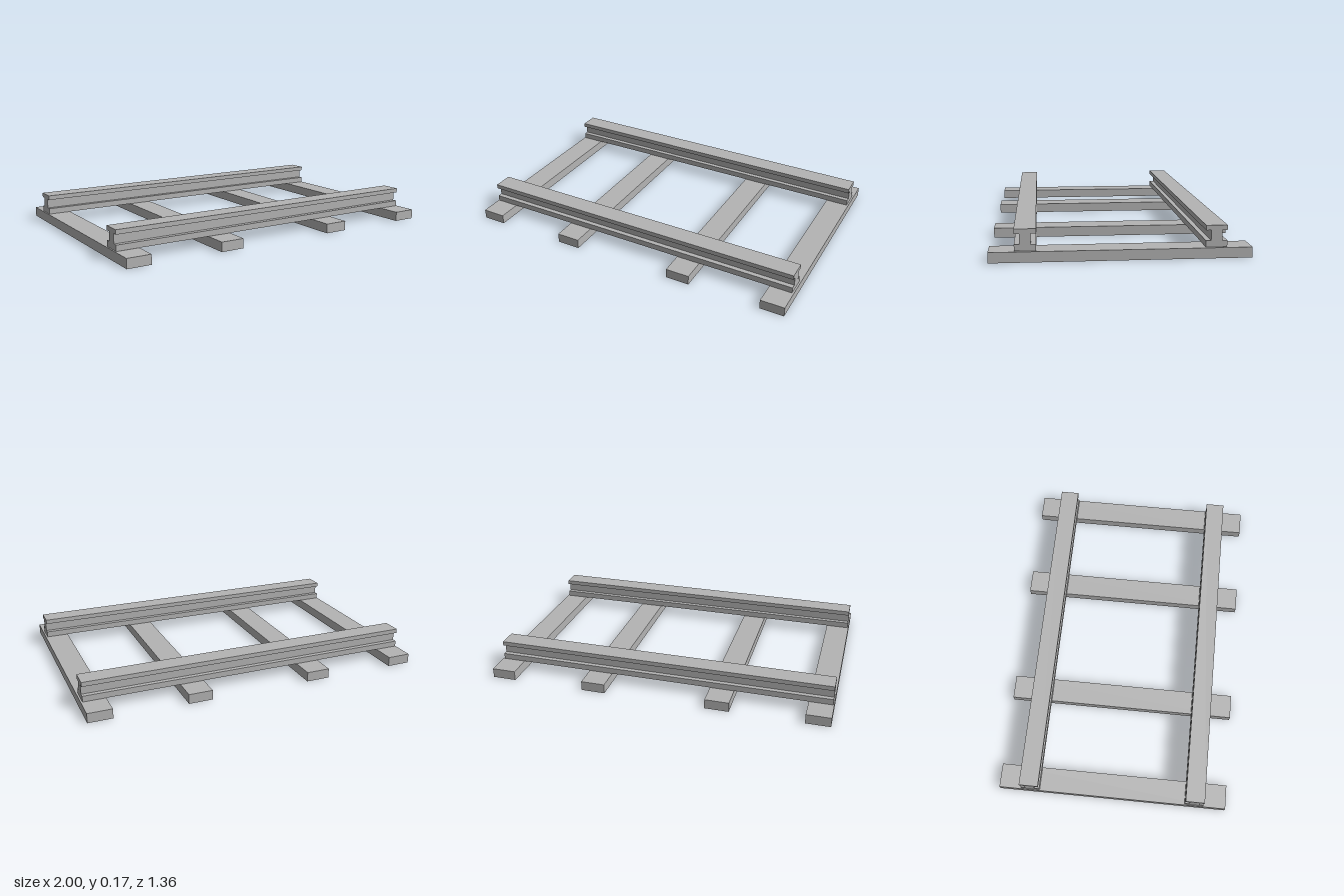
import * as THREE from 'three';

export function createModel() {
  const group = new THREE.Group();
  const grey = new THREE.MeshStandardMaterial({ color: 0xb4b4b4 });
  grey.name = 'grey';

  // Cross ties
  const tieHeight = 0.056;
  const tieGeometry = new THREE.BoxGeometry(0.14, tieHeight, 1.36);
  for (const x of [-0.93, -0.369, 0.365, 0.93]) {
    const tie = new THREE.Mesh(tieGeometry, grey);
    tie.name = 'crossTie';
    tie.position.set(x, tieHeight / 2, 0);
    group.add(tie);
  }

  // I-section rails: half profile (half width, height), mirrored
  const half = [
    [0.056, 0.058], [0.056, 0.092], [0.029, 0.092],
    [0.029, 0.147], [0.056, 0.147], [0.056, 0.173],
  ];
  const mirrored = half.map(([w, y]) => [-w, y]).reverse();
  const profile = new THREE.Shape([...half, ...mirrored].map(([w, y]) => new THREE.Vector2(w, y)));
  const length = 1.985;
  const railGeometry = new THREE.ExtrudeGeometry(profile, { depth: length, bevelEnabled: false });
  railGeometry.translate(0, 0, -length / 2).rotateY(Math.PI / 2);
  for (const z of [-0.492, 0.492]) {
    const rail = new THREE.Mesh(railGeometry, grey);
    rail.name = 'rail';
    rail.position.set(-0.002, 0, z);
    group.add(rail);
  }

  return group;
}
